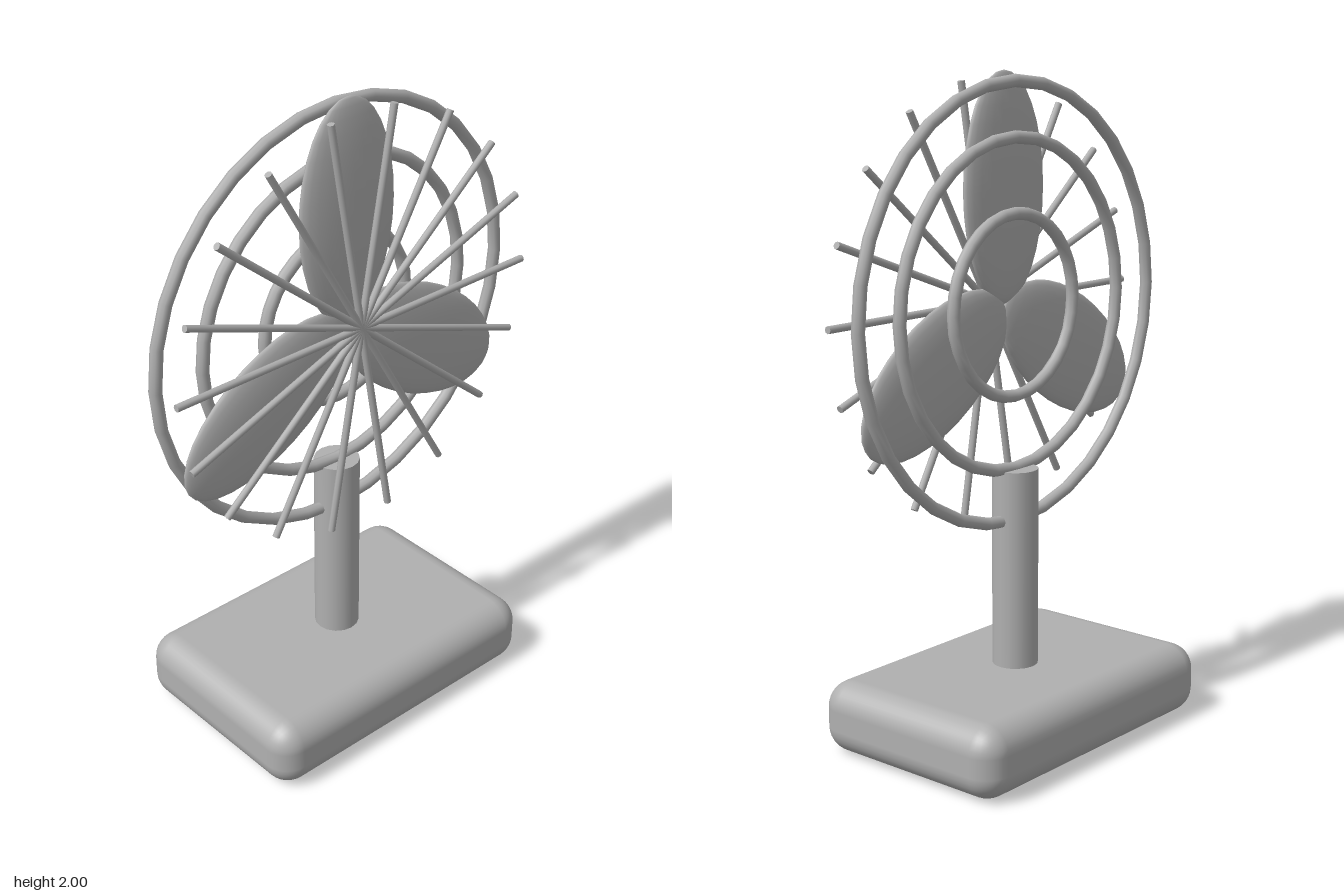
import * as THREE from 'three';
import { RoundedBoxGeometry } from 'three/addons/geometries/RoundedBoxGeometry.js';

export function createModel() {
  const model = new THREE.Group();
  model.name = 'deskFan';
  const grey = new THREE.MeshStandardMaterial({ color: 0xb0b0b0 });
  grey.name = 'plain grey';

  const add = (parent, name, geometry, x = 0, y = 0, z = 0) => {
    const mesh = new THREE.Mesh(geometry, grey);
    mesh.name = name;
    mesh.position.set(x, y, z);
    parent.add(mesh);
    return mesh;
  };

  // Soft-edged base and upright post
  add(model, 'base', new RoundedBoxGeometry(1.02, 0.22, 0.68, 4, 0.08), 0, 0.11, 0);
  add(model, 'post', new THREE.CylinderGeometry(0.07, 0.07, 0.65, 16), 0, 0.505, 0);

  // Everything in the head is laid out around the fan axis
  const head = new THREE.Group();
  head.name = 'head';
  head.position.y = 1.32;
  model.add(head);

  // Three concentric guard rings
  for (const radius of [0.27, 0.49, 0.65]) {
    add(head, 'guardRing', new THREE.TorusGeometry(radius, 0.019, 8, 32));
  }

  // Three flattened oval blades meeting at the axis
  const bladeGeometry = new THREE.SphereGeometry(1, 24, 16);
  bladeGeometry.scale(0.175, 0.34, 0.034);
  bladeGeometry.translate(0, 0.34, 0.043);
  for (let i = 0; i < 3; i++) {
    add(head, 'blade', bladeGeometry).rotation.z = (i * Math.PI * 2) / 3;
  }

  // Front grille of eighteen radiating spokes
  const spokeGeometry = new THREE.CylinderGeometry(0.011, 0.011, 0.66, 8);
  spokeGeometry.translate(0, 0.33, 0);
  for (let i = 0; i < 18; i++) {
    add(head, 'spoke', spokeGeometry, 0, 0, 0.105).rotation.z =
      (i * Math.PI * 2) / 18 - Math.PI / 2;
  }

  return model;
}
